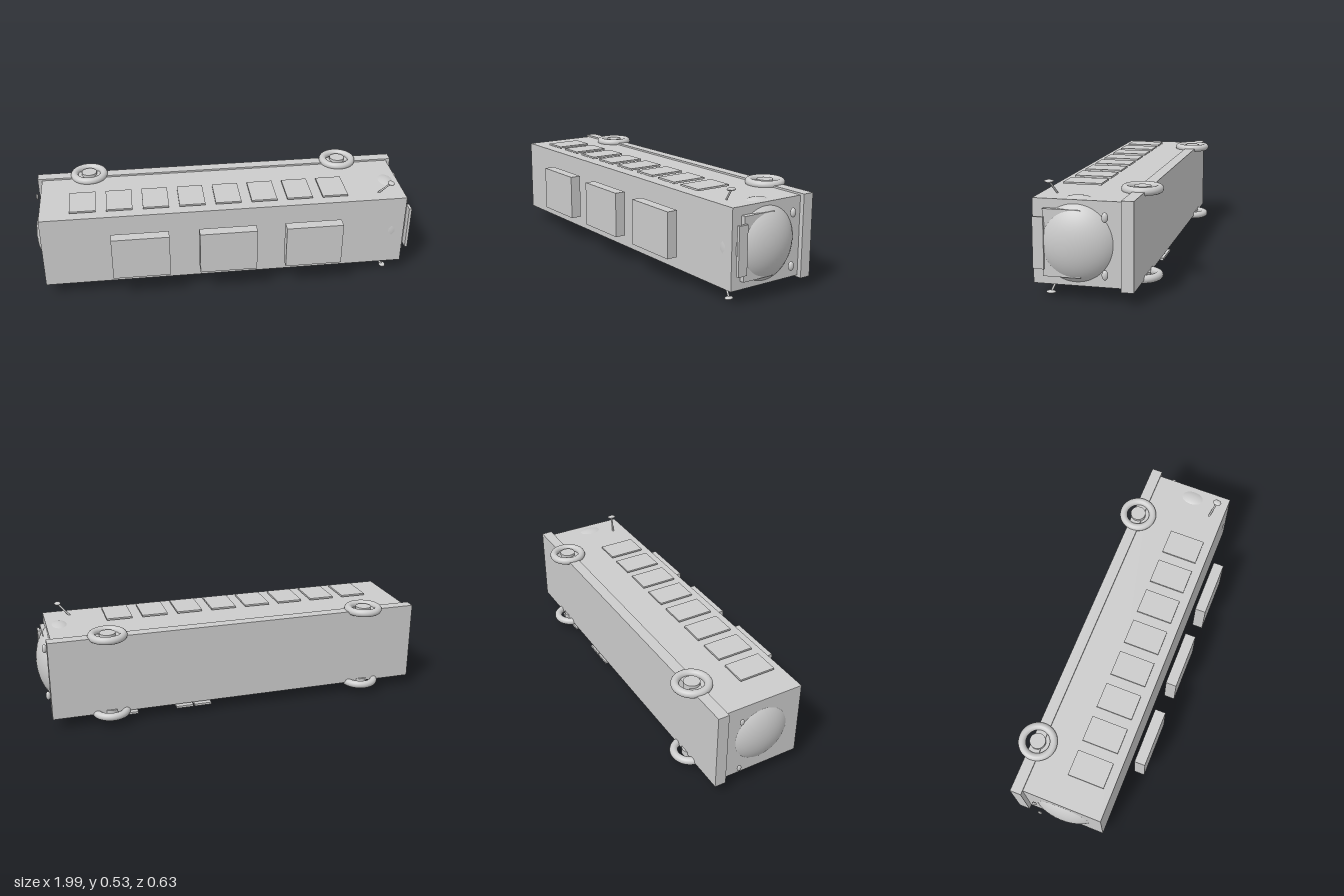
import * as THREE from 'three';

const CY = 0.2665; // height of the bus's long centre line; it lies on its side, roof towards +z

export function createModel() {
  const bus = new THREE.Group();
  bus.name = 'bus';
  const mat = new THREE.MeshStandardMaterial({ color: 0xcccccc });

  const add = (name, geometry, x, y, z) => {
    const mesh = new THREE.Mesh(geometry, mat);
    mesh.name = name;
    mesh.position.set(x, y, z);
    bus.add(mesh);
    return mesh;
  };
  // box given by its limits on each axis
  const box = (name, x0, x1, y0, y1, z0, z1) =>
    add(name, new THREE.BoxGeometry(x1 - x0, y1 - y0, z1 - z0), (x0 + x1) / 2, (y0 + y1) / 2, (z0 + z1) / 2);
  const ellipsoid = (name, x, y, z, rx, ry, rz, seg = 24) =>
    add(name, new THREE.SphereGeometry(1, seg, Math.ceil(seg * 0.67)).scale(rx, ry, rz), x, y, z);

  // Body and skirt
  box('body', -0.962, 0.93, 0.072, 0.462, -0.24, 0.222);
  box('skirt', -0.985, 0.953, 0.062, 0.471, -0.245, -0.188);

  // Bulging nose and rear window
  ellipsoid('frontDome', 0.865, CY, 0.025, 0.13, 0.2045, 0.199, 48);
  ellipsoid('rearDome', -0.9, CY, 0.01, 0.1, 0.18, 0.18, 40);

  // Windscreen panel and sign above it
  box('windscreen', 0.925, 0.953, 0.113, 0.42, -0.005, 0.169);
  box('signBoard', 0.953, 0.967, 0.148, 0.385, 0.161, 0.212);

  // Roof units
  for (const x of [-0.463, -0.015, 0.43]) {
    box('roofUnit', x - 0.147, x + 0.147, 0.15, 0.381, 0.26, 0.316);
  }

  for (const side of [1, -1]) {
    // Side windows
    for (let i = 0; i < 8; i++) {
      add('sideWindow', new THREE.BoxGeometry(0.133, 0.009, 0.188), -0.743 + i * 0.1859, CY + side * 0.208, 0.082);
    }

    // Wheels with hubs
    for (const x of [-0.71, 0.656]) {
      add('tyre', new THREE.TorusGeometry(0.079, 0.0195, 16, 40).rotateX(Math.PI / 2), x, CY + side * 0.205, -0.216);
      add('hub', new THREE.CylinderGeometry(0.04, 0.04, 0.03, 24), x, CY + side * 0.204, -0.216);
    }

    // Lamps
    ellipsoid('headlamp', 0.958, CY + side * 0.129, -0.117, 0.012, 0.023, 0.0145);
    ellipsoid('tailLamp', -0.99, CY + side * 0.139, -0.12, 0.007, 0.017, 0.012);

    // Mirrors on slanted arms
    const arm = new THREE.LineCurve3(
      new THREE.Vector3(0.793, CY + side * 0.19, 0.146),
      new THREE.Vector3(0.85, CY + side * 0.253, 0.165)
    );
    add('mirrorArm', new THREE.TubeGeometry(arm, 1, 0.005, 10), 0, 0, 0);
    ellipsoid('mirror', 0.853, CY + side * 0.2575, 0.167, 0.017, 0.008, 0.023);
  }

  // Two-leaf doors on the kerb side
  for (const x of [0.23, 0.615]) {
    for (const s of [-1, 1]) {
      const c = x + s * 0.048;
      box('doorLeaf', c - 0.0445, c + 0.0445, 0.039, 0.05, -0.249, 0.147);
      box('doorHandle', c - s * 0.008 - 0.004, c - s * 0.008 + 0.004, 0.035, 0.04, -0.08, -0.03);
    }
  }

  return bus;
}
